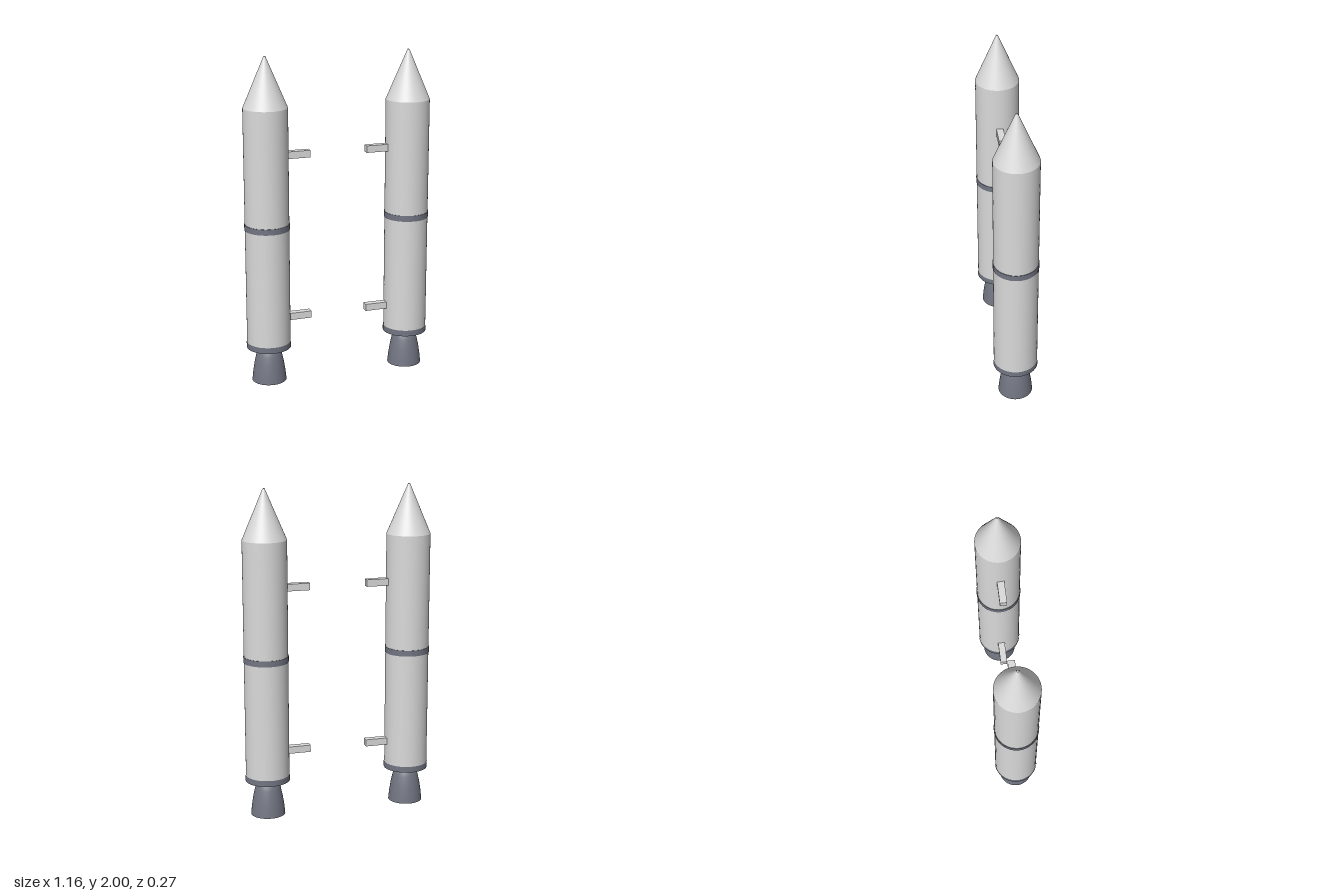
import * as THREE from 'three';

export function createModel() {
  const model = new THREE.Group();
  model.name = 'boosterPair';

  const white = new THREE.MeshStandardMaterial({ color: 0xdadada });
  white.name = 'hull white';
  const dark = new THREE.MeshStandardMaterial({ color: 0x727682 });
  dark.name = 'metal grey';
  const darkOpen = new THREE.MeshStandardMaterial({ color: 0x727682, side: THREE.DoubleSide });
  darkOpen.name = 'metal grey open';

  const SEG = 48;
  const v = (x, y) => new THREE.Vector2(x, y);

  function add(parent, name, geometry, material, x, y) {
    const mesh = new THREE.Mesh(geometry, material);
    mesh.name = name;
    mesh.position.set(x, y, 0);
    parent.add(mesh);
  }

  // Cylinder-like wall between two heights
  const drum = (r, y0, y1, open) => {
    const g = new THREE.CylinderGeometry(r, r, y1 - y0, SEG, 1, open);
    return g.translate(0, (y0 + y1) / 2, 0);
  };

  // Bell nozzle: outer wall, rim, then inner wall
  const bell = [[0.105, 0], [0.1, 0.05], [0.091, 0.11], [0.079, 0.165], [0.068, 0.197], [0.053, 0.218]];
  const outer = bell.map(([r, y]) => v(r, y));
  const inner = bell.map(([r, y]) => v(r - 0.008, y)).reverse();

  for (const side of [-1, 1]) {
    const booster = new THREE.Group();
    booster.name = side > 0 ? 'leftBooster' : 'rightBooster';
    booster.position.x = side * 0.446;
    model.add(booster);

    // Hull and nose
    add(booster, 'hull', drum(0.133, 0.217, 1.7, false), white, 0, 0);
    add(booster, 'noseCone', new THREE.CylinderGeometry(0.006, 0.133, 0.3, SEG), white, 0, 1.85);

    // Bands around the hull
    add(booster, 'middleBand', drum(0.136, 0.964, 1.0, false), dark, 0, 0);
    add(booster, 'bottomBand', drum(0.136, 0.218, 0.255, true), dark, 0, 0);

    // Engine
    add(booster, 'nozzle', new THREE.LatheGeometry(outer, SEG), darkOpen, 0, 0);
    add(booster, 'nozzleInside', new THREE.LatheGeometry(inner, SEG), darkOpen, 0, 0);
    const rim = new THREE.RingGeometry(0.097, 0.105, SEG).rotateX(Math.PI / 2);
    add(booster, 'nozzleRim', rim, darkOpen, 0, 0);

    // Struts reaching inward
    for (const y of [0.398, 1.41]) {
      add(booster, 'strut', new THREE.BoxGeometry(0.148, 0.043, 0.043), white, -side * 0.194, y);
    }
  }
  return model;
}
